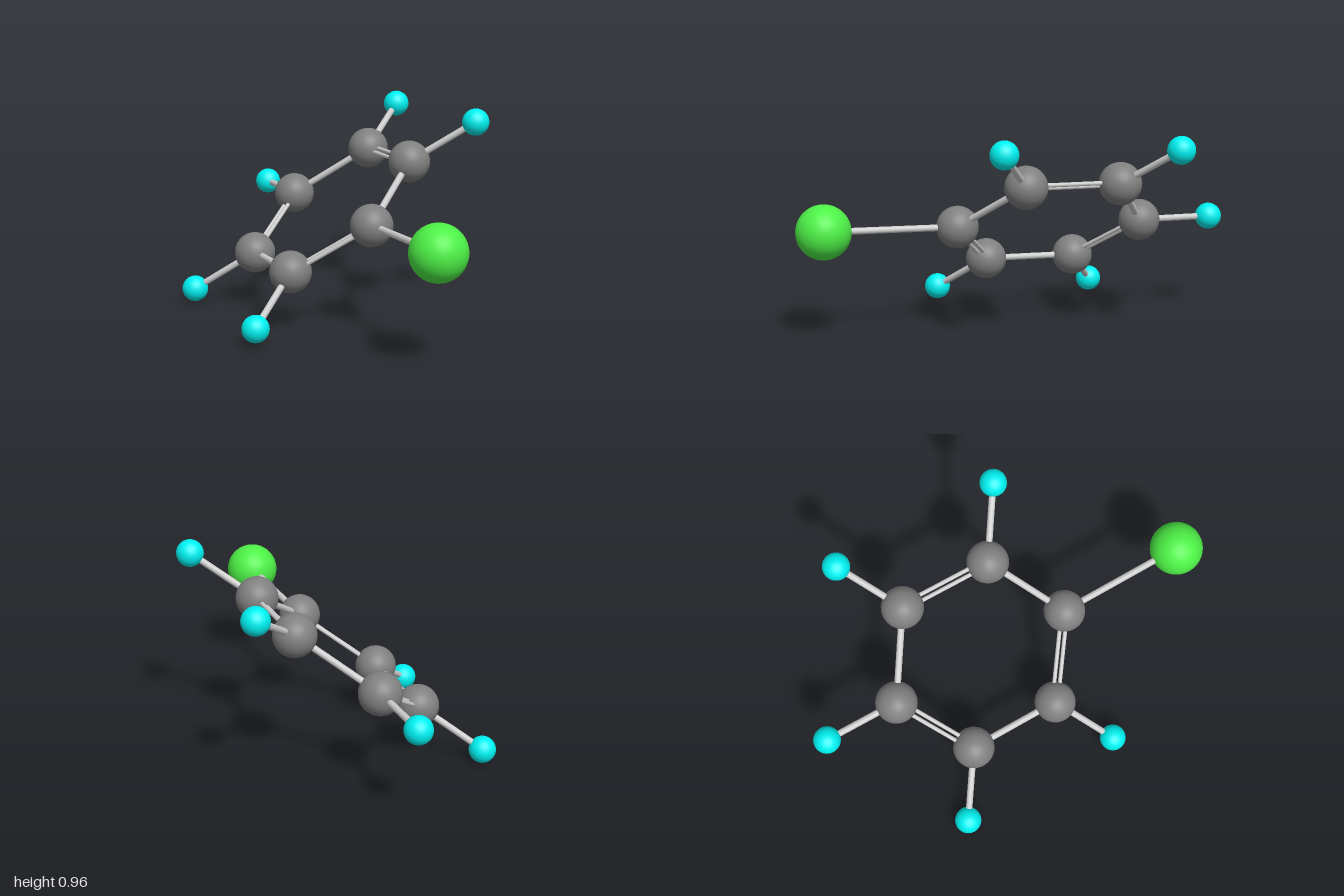
import * as THREE from 'three';

const V = (x, y, z) => new THREE.Vector3(x, y, z);

// Ring atoms in order, and the atom attached to each one
const ring = [
  V(0.02, 0.495, 0.275), V(0.305, 0.716, 0.03), V(0.28, 0.71, -0.4),
  V(-0.03, 0.475, -0.592), V(-0.313, 0.257, -0.352), V(-0.287, 0.267, 0.078),
];
const outer = [
  V(0.06, 0.511, 0.875), V(0.56, 0.905, 0.185), V(0.51, 0.887, -0.594),
  V(-0.05, 0.471, -0.94), V(-0.564, 0.066, -0.508), V(-0.515, 0.085, 0.272),
];

export function createModel() {
  const model = new THREE.Group();
  const mat = (color) => new THREE.MeshStandardMaterial({ color });
  const ringMat = mat(0x808080);
  const smallMat = mat(0x00f0f0);
  const largeMat = mat(0x4df046);
  const bondMat = mat(0xcccccc);

  function atom(name, position, radius, material) {
    const mesh = new THREE.Mesh(new THREE.SphereGeometry(radius, 40, 28), material);
    mesh.name = name;
    mesh.position.copy(position);
    model.add(mesh);
  }

  // Rod from a to b, shifted sideways by an offset
  function bond(name, a, b, radius, offset = V(0, 0, 0)) {
    const dir = b.clone().sub(a);
    const mesh = new THREE.Mesh(new THREE.CylinderGeometry(radius, radius, dir.length(), 20), bondMat);
    mesh.name = name;
    mesh.position.copy(a).add(b).multiplyScalar(0.5).add(offset);
    mesh.quaternion.setFromUnitVectors(V(0, 1, 0), dir.normalize());
    model.add(mesh);
  }

  // Normal of the tilted ring plane
  const normal = ring[2].clone().sub(ring[0]).cross(ring[4].clone().sub(ring[0])).normalize();

  ring.forEach((p, i) => {
    atom('ringAtom', p, 0.095, ringMat);
    if (i === 0) atom('largeOuterAtom', outer[i], 0.122, largeMat);
    else atom('smallOuterAtom', outer[i], 0.061, smallMat);
    bond('outerBond', p, outer[i], 0.015);

    // Single and double bonds alternate; the double rods lie side by side in the plane
    const next = ring[(i + 1) % 6];
    if (i % 2 === 0) {
      bond('singleBond', p, next, 0.015);
    } else {
      const side = next.clone().sub(p).cross(normal).normalize();
      for (const s of [-1, 1]) {
        bond('doubleBond', p, next, 0.0095, side.clone().multiplyScalar(s * 0.0135));
      }
    }
  });
  return model;
}
